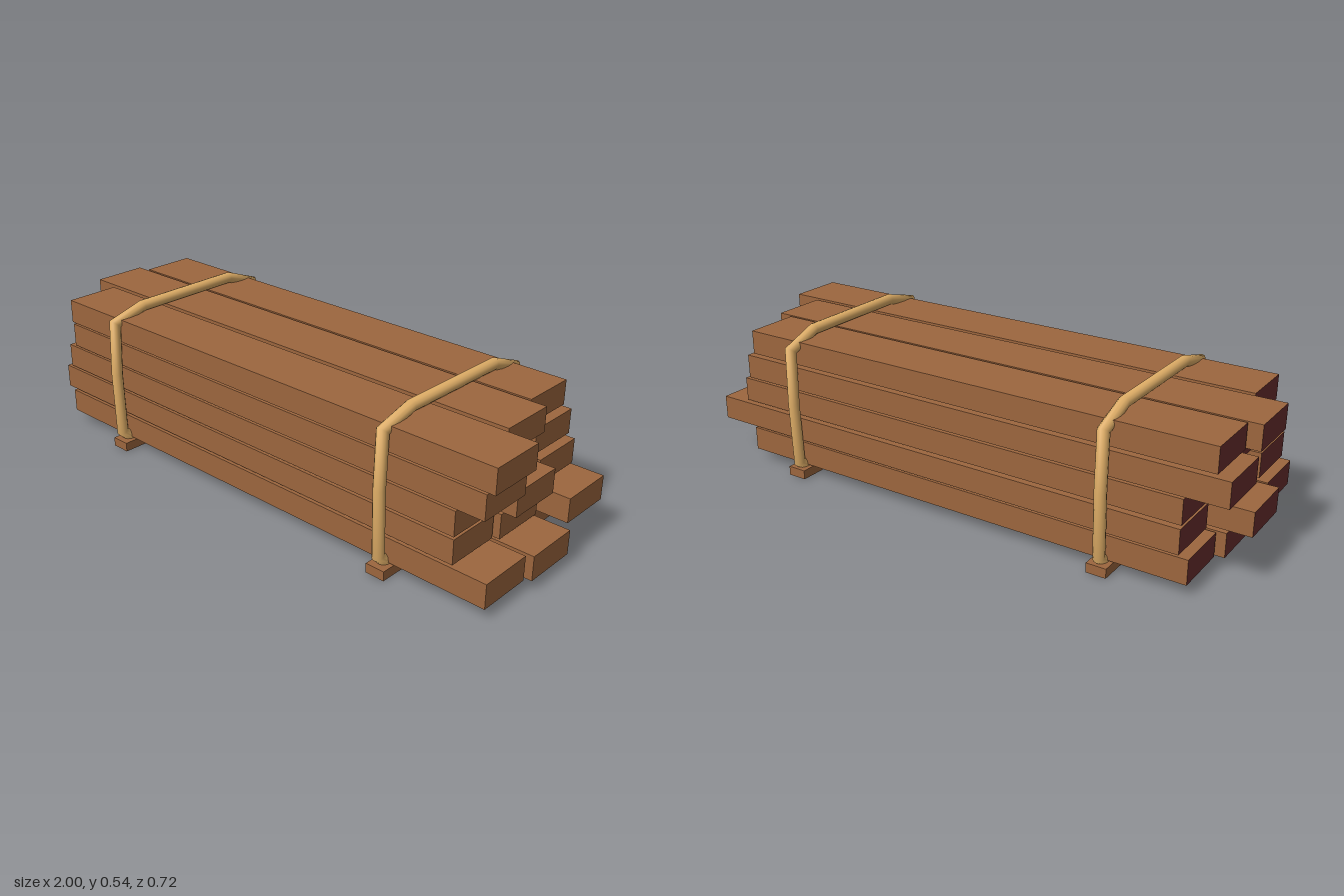
import * as THREE from 'three';

const wood = new THREE.MeshStandardMaterial({ color: 0x9c663e });
const paintedEnd = new THREE.MeshStandardMaterial({ color: 0x6a2f2f });
const rope = new THREE.MeshStandardMaterial({ color: 0xe2b068 });

// Rows from the bottom up; each plank is [left x, right x, centre z]
const ROWS = [
  [[-0.93, 0.98, 0.21], [-0.92, 1.0, -0.002], [-0.89, 0.84, -0.212]],
  [[-0.96, 0.86, 0.209], [-1.0, 0.88, 0.001], [-0.86, 0.98, -0.217]],
  [[-0.93, 0.86, 0.21], [-0.88, 0.93, 0.001], [-0.86, 0.87, -0.21]],
  [[-0.89, 0.96, 0.213], [-0.9, 0.82, -0.004], [-1.0, 0.845, -0.214]],
  [[-0.89, 0.99, 0.217], [-1.0, 0.88, 0], [-0.955, 0.82, -0.208]],
];

// Strap centre line as [z, y], over the top and down the back
const LOOP = [
  [0.205, 0.523], [-0.215, 0.523], [-0.336, 0.477], [-0.34, 0.28], [-0.332, 0.055],
  [-0.29, 0.026], [0.29, 0.026], [0.335, 0.068], [0.34, 0.3], [0.332, 0.488],
];

// Closed round tube with mitred corners along a loop in the yz plane
function loopTube(loop, radius, sides) {
  const pts = loop.map(([z, y]) => new THREE.Vector3(0, y, z));
  const n = pts.length;
  const outward = (a, b) => {
    const t = b.clone().sub(a).normalize();
    return new THREE.Vector3(0, -t.z, t.y);
  };
  const pos = [], index = [];
  for (let i = 0; i < n; i++) {
    const o1 = outward(pts[(i + n - 1) % n], pts[i]);
    const o2 = outward(pts[i], pts[(i + 1) % n]);
    const mitre = o1.clone().add(o2).divideScalar(1 + o1.dot(o2));
    for (let j = 0; j < sides; j++) {
      const a = (j / sides) * Math.PI * 2;
      const p = pts[i].clone().addScaledVector(mitre, radius * Math.cos(a));
      pos.push(radius * Math.sin(a), p.y, p.z);
      const k = (j + 1) % sides, next = (i + 1) % n;
      const v00 = i * sides + j, v01 = i * sides + k;
      const v10 = next * sides + j, v11 = next * sides + k;
      index.push(v00, v01, v10, v01, v11, v10);
    }
  }
  const geo = new THREE.BufferGeometry();
  geo.setAttribute('position', new THREE.Float32BufferAttribute(pos, 3));
  geo.setIndex(index);
  geo.computeVertexNormals();
  return geo;
}

export function createModel() {
  const model = new THREE.Group();
  model.name = 'lumberStack';

  // Planks, painted on one end
  const plankMaterials = [wood, paintedEnd, wood, wood, wood, wood];
  const planks = new THREE.Group();
  planks.name = 'planks';
  ROWS.forEach((row, r) => row.forEach(([x0, x1, z], c) => {
    const plank = new THREE.Mesh(new THREE.BoxGeometry(x1 - x0, 0.085, 0.199), plankMaterials);
    plank.position.set((x0 + x1) / 2, 0.0825 + r * 0.0943, z);
    plank.name = `plankRow${r + 1}Column${c + 1}`;
    planks.add(plank);
  }));
  model.add(planks);

  // Runner and strap near each end
  const strapGeometry = loopTube(LOOP, 0.02, 12);
  for (const [side, x] of [['left', 0.61], ['right', -0.61]]) {
    const runner = new THREE.Mesh(new THREE.BoxGeometry(0.07, 0.033, 0.7), wood);
    runner.position.set(x, 0.0165, 0);
    runner.name = `${side}Runner`;
    const strap = new THREE.Mesh(strapGeometry, rope);
    strap.position.x = x;
    strap.name = `${side}Strap`;
    model.add(runner, strap);
  }
  return model;
}
